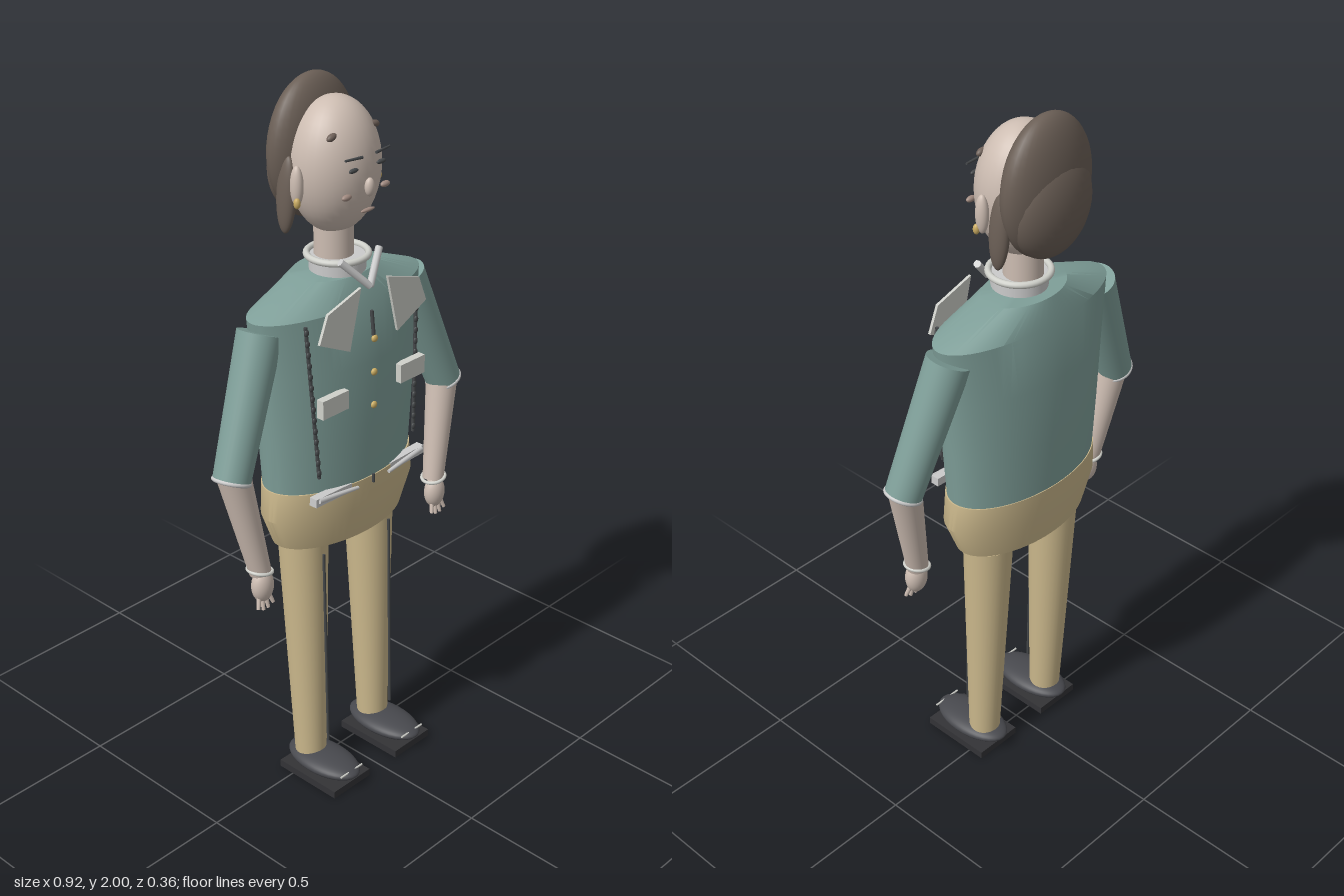
import * as THREE from 'three';
import { toCreasedNormals } from 'three/addons/utils/BufferGeometryUtils.js';

const COLORS = {
  skin: 0xcdbdb2, hair: 0x6b5f56, shirt: 0x7f9f99, trousers: 0xcbb88c, shoe: 0x48494e,
  sole: 0x333336, white: 0xe8e8e6, pale: 0xcfd0ca, dark: 0x45484a, gold: 0xc9ab62, spot: 0x6f6159, lip: 0xa08a80,
};
const mats = {};
for (const k in COLORS) mats[k] = new THREE.MeshStandardMaterial({ color: COLORS[k], side: THREE.DoubleSide });

const V = (p) => new THREE.Vector3(...p);

export function createModel() {
  const root = new THREE.Group();

  function add(name, geo, mat, pos = [0, 0, 0], rot = [0, 0, 0]) {
    const m = new THREE.Mesh(geo, mats[mat]);
    m.name = name;
    m.position.set(...pos);
    m.rotation.set(...rot);
    root.add(m);
    return m;
  }
  const ball = (name, mat, pos, radii, rot) =>
    add(name, new THREE.SphereGeometry(1, 32, 24).scale(...radii), mat, pos, rot);
  const box = (name, mat, pos, size, rot) => add(name, new THREE.BoxGeometry(...size), mat, pos, rot);
  // Tapered rod from a to b
  function rod(name, mat, a, b, ra, rb = ra, sides = 32) {
    const A = V(a), B = V(b), d = B.clone().sub(A);
    const m = add(name, new THREE.CylinderGeometry(rb, ra, d.length(), sides), mat);
    m.position.copy(A).add(B).multiplyScalar(0.5);
    m.quaternion.setFromUnitVectors(new THREE.Vector3(0, 1, 0), d.normalize());
    return m;
  }
  // Capped body through elliptical levels [y, half width, front z, back z], top to bottom
  function loft(name, mat, levels) {
    const n = levels.length - 1;
    const g = new THREE.CylinderGeometry(1, 1, 1, 64, n);
    const p = g.attributes.position;
    for (let i = 0; i < p.count; i++) {
      const [y, hx, zf, zb] = levels[Math.round((0.5 - p.getY(i)) * n)];
      p.setXYZ(i, p.getX(i) * hx, y, (zf + zb) / 2 + (p.getZ(i) * (zf - zb)) / 2);
    }
    return add(name, toCreasedNormals(g, 0.5), mat);
  }

  // Body
  loft('torso', 'shirt', [
    [1.505, 0.13, 0.06, -0.115], [1.44, 0.3, 0.095, -0.135], [1.28, 0.277, 0.114, -0.15],
    [1.1, 0.262, 0.118, -0.152], [0.945, 0.25, 0.115, -0.148],
  ]);
  loft('hips', 'trousers', [
    [0.945, 0.254, 0.118, -0.15], [0.86, 0.262, 0.118, -0.145], [0.768, 0.225, 0.1, -0.13],
  ]);

  // Neck and collar
  rod('neck', 'skin', [0, 1.5, -0.025], [0, 1.65, -0.025], 0.052);
  rod('collarBand', 'white', [0, 1.5, -0.012], [0, 1.542, -0.012], 0.074);
  add('collarRing', new THREE.TorusGeometry(0.08, 0.009, 12, 40), 'pale', [0, 1.545, -0.012], [Math.PI / 2, 0, 0]);

  // Head, hair and face
  ball('head', 'skin', [0, 1.78, -0.022], [0.127, 0.177, 0.112]);
  ball('hairCap', 'hair', [0, 1.812, -0.1], [0.148, 0.188, 0.066]);
  ball('backHair', 'hair', [0, 1.768, -0.115], [0.13, 0.142, 0.068]);
  ball('nose', 'skin', [0, 1.748, 0.098], [0.014, 0.024, 0.012]);
  ball('mouth', 'lip', [0, 1.687, 0.092], [0.025, 0.005, 0.006]);

  // Shirt front
  for (const y of [1.345, 1.25, 1.155]) ball('button', 'gold', [0, y, 0.119], [0.01, 0.01, 0.007]);
  rod('upperPlacket', 'dark', [0, 1.35, 0.116], [0, 1.42, 0.108], 0.005, 0.005, 8);
  rod('lowerPlacket', 'dark', [0, 0.925, 0.12], [0, 0.95, 0.12], 0.004, 0.004, 8);

  // Mirrored parts
  for (const s of [1, -1]) {
    const side = s > 0 ? 'left' : 'right';
    const n = (part) => side + part;

    // Face and hair sides
    ball(n('HairLock'), 'hair', [s * 0.127, 1.72, -0.065], [0.02, 0.1, 0.03], [0, 0, s * 0.08]);
    ball(n('Ear'), 'skin', [s * 0.138, 1.757, -0.018], [0.016, 0.052, 0.018]);
    ball(n('Earring'), 'gold', [s * 0.148, 1.717, -0.008], [0.009, 0.014, 0.009]);
    ball(n('Eye'), 'dark', [s * 0.05, 1.8, 0.09], [0.016, 0.006, 0.006]);
    rod(n('Eyebrow'), 'dark', [s * 0.025, 1.83, 0.096], [s * 0.08, 1.832, 0.09], 0.004, 0.003, 8);
    ball(n('Cheek'), 'lip', [s * 0.07, 1.735, 0.086], [0.016, 0.008, 0.008]);
    ball(n('ForeheadSpot'), 'spot', [s * 0.077, 1.88, 0.042], [0.016, 0.009, 0.009], [0, 0, -s * 0.3]);

    // Collar point, lapel, pocket flap, seam and belt strap
    rod(n('CollarPoint'), 'white', [s * 0.072, 1.56, 0.066], [0, 1.485, 0.102], 0.01, 0.01, 8);
    const lapel = new THREE.Shape(
      [[0.05, 1.5], [0.17, 1.463], [0.2, 1.39], [0.09, 1.337]].map(([x, y]) => new THREE.Vector2(s * x, y)));
    add(n('Lapel'), new THREE.ExtrudeGeometry(lapel, { depth: 0.008, bevelEnabled: false }), 'pale', [0, 0, 0.11]);
    box(n('PocketFlap'), 'pale', [s * 0.147, 1.208, 0.112], [0.095, 0.052, 0.022]);
    rod(n('Seam'), 'dark', [s * 0.208, 1.43, 0.076], [s * 0.183, 1.0, 0.096], 0.005, 0.005, 8);
    for (let i = 0; i < 14; i++) {
      const t = (i + 0.5) / 14;
      ball(n('Stitch'), 'dark', [s * (0.208 - 0.025 * t), 1.43 - 0.43 * t, 0.078 + 0.02 * t], [0.007, 0.01, 0.005]);
    }
    box(n('BeltStrap'), 'white', [s * 0.143, 0.938, 0.1], [0.135, 0.024, 0.024], [0, 0, s * 0.03]);
    rod(n('BeltEnd'), 'white', [s * 0.2, 0.945, 0.112], [s * 0.06, 0.932, 0.12], 0.008, 0.005, 8);

    // Arm and hand
    const elbow = [s * 0.41, 1.05, 0.008];
    rod(n('Sleeve'), 'shirt', [s * 0.268, 1.405, -0.025], elbow, 0.06, 0.05);
    rod(n('Forearm'), 'skin', [s * 0.405, 1.07, 0.008], [s * 0.345, 0.765, 0.036], 0.045, 0.03);
    const cuff = add(n('Cuff'), new THREE.TorusGeometry(0.047, 0.006, 10, 32), 'white', elbow);
    cuff.quaternion.setFromUnitVectors(new THREE.Vector3(0, 0, 1), V([s * 0.142, -0.355, 0.033]).normalize());
    const band = add(n('Bracelet'), new THREE.TorusGeometry(0.033, 0.005, 10, 32), 'pale', [s * 0.346, 0.77, 0.036]);
    band.rotation.set(Math.PI / 2, s * 0.2, 0);
    ball(n('Hand'), 'skin', [s * 0.344, 0.725, 0.043], [0.033, 0.048, 0.027]);
    [-0.026, -0.008, 0.01, 0.028].forEach((dx, i) =>
      rod(n('Finger'), 'skin', [s * (0.345 + dx * 0.6), 0.7, 0.047],
        [s * (0.345 + dx), 0.667 - (i % 3 ? 0.008 : 0), 0.056], 0.007, 0.005, 10));

    // Leg with trouser crease
    rod(n('Leg'), 'trousers', [s * 0.13, 0.06, 0.005], [s * 0.13, 0.757, -0.018], 0.045, 0.069);
    rod(n('Crease'), 'dark', [s * 0.13, 0.12, 0.074], [s * 0.13, 0.73, 0.06], 0.004, 0.004, 8);

    // Shoe
    box(n('Sole'), 'sole', [s * 0.128, 0.011, 0.058], [0.145, 0.022, 0.215]);
    ball(n('Shoe'), 'shoe', [s * 0.128, 0.045, 0.056], [0.068, 0.027, 0.125]);
    rod(n('ToeSeam'), 'pale', [s * 0.085, 0.055, 0.163], [s * 0.172, 0.055, 0.163], 0.003, 0.003, 8);
  }
  return root;
}
